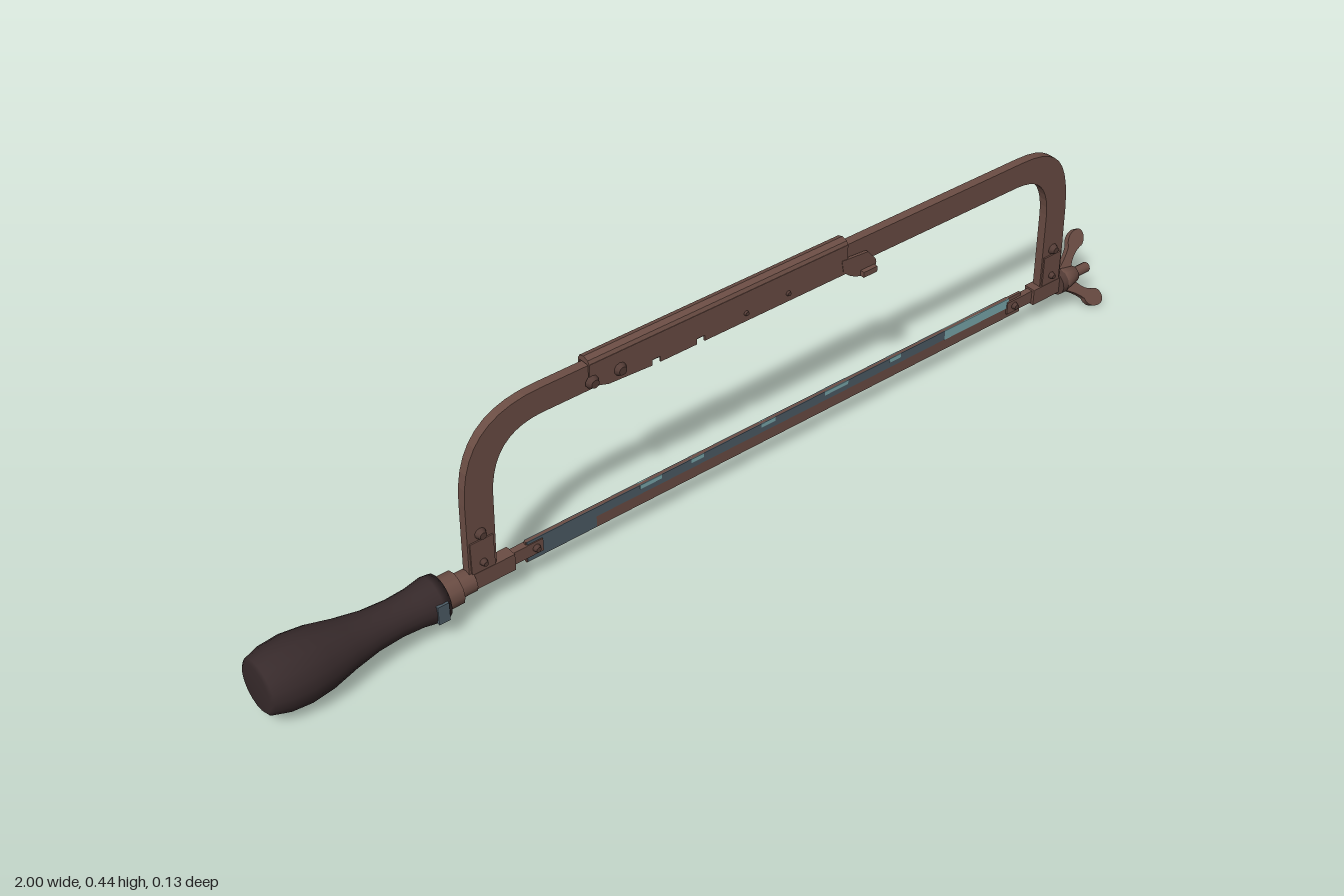
import * as THREE from 'three';

const AXIS_Y = 0.077; // height of the handle, blade and bolt axis

export function createModel() {
  const model = new THREE.Group();
  const paint = (name, color) => {
    const m = new THREE.MeshStandardMaterial({ color });
    m.name = name;
    return m;
  };
  const rust = paint('rusty steel', 0x6b4d44);
  const darkRust = paint('dark rust', 0x543c36);
  const wood = paint('dark wood', 0x372a2b);
  const bluePaint = paint('worn blue paint', 0x4d5c66);
  const tealPaint = paint('light teal paint', 0x7aa9ad);

  const add = (name, geometry, material, parent = model) => {
    const mesh = new THREE.Mesh(geometry, material);
    mesh.name = name;
    parent.add(mesh);
    return mesh;
  };
  // Box given by its x and y ranges, thickness and z centre
  const plate = (name, x0, x1, y0, y1, depth, material, z = 0) => {
    const g = new THREE.BoxGeometry(x1 - x0, y1 - y0, depth);
    return add(name, g.translate((x0 + x1) / 2, (y0 + y1) / 2, z), material);
  };
  // Turned part along x, from [x, radius] pairs
  const turned = (name, profile, sides, material) => {
    const g = new THREE.LatheGeometry(profile.map(([x, r]) => new THREE.Vector2(r, x)), sides);
    return add(name, g.rotateZ(-Math.PI / 2).translate(0, AXIS_Y, 0), material);
  };
  const rod = (name, x0, x1, r, sides, material) => {
    const g = new THREE.CylinderGeometry(r, r, x1 - x0, sides);
    return add(name, g.rotateZ(-Math.PI / 2).translate((x0 + x1) / 2, AXIS_Y, 0), material);
  };
  const slab = (shape, depth, z = 0) =>
    new THREE.ExtrudeGeometry(shape, { depth, bevelEnabled: false, curveSegments: 10 })
      .translate(0, 0, z - depth / 2);
  // Domed rivet through both sides
  const rivet = (x, y, r, z) => {
    for (const s of [1, -1]) {
      const g = new THREE.CylinderGeometry(r * 0.6, r, 0.011, 10);
      g.rotateX(s * Math.PI / 2).translate(x, y, s * (z + 0.0045));
      add('rivet', g, darkRust);
    }
  };

  // Bow frame with two rounded corners
  const bow = new THREE.Shape();
  bow.moveTo(-0.58, 0.085);
  bow.lineTo(-0.522, 0.085);
  bow.lineTo(-0.518, 0.25);
  bow.bezierCurveTo(-0.515, 0.33, -0.48, 0.37, -0.41, 0.372);
  bow.lineTo(0.74, 0.372);
  bow.bezierCurveTo(0.8, 0.37, 0.83, 0.34, 0.833, 0.27);
  bow.lineTo(0.834, 0.085);
  bow.lineTo(0.892, 0.085);
  bow.lineTo(0.888, 0.27);
  bow.bezierCurveTo(0.882, 0.38, 0.85, 0.425, 0.75, 0.425);
  bow.lineTo(-0.41, 0.425);
  bow.bezierCurveTo(-0.52, 0.425, -0.575, 0.37, -0.577, 0.25);
  bow.closePath();
  add('bowFrame', slab(bow, 0.019), rust);

  // Channel sleeve: notched cheeks under a bent cap
  const cheek = new THREE.Shape();
  cheek.moveTo(-0.31, 0.43);
  cheek.lineTo(-0.31, 0.385);
  cheek.lineTo(-0.27, 0.372);
  for (const x of [-0.165, -0.065]) {
    cheek.lineTo(x - 0.009, 0.367);
    cheek.lineTo(x - 0.009, 0.379);
    cheek.lineTo(x + 0.009, 0.379);
    cheek.lineTo(x + 0.009, 0.367);
  }
  cheek.lineTo(0.285, 0.367);
  cheek.lineTo(0.285, 0.43);
  cheek.closePath();
  for (const s of [1, -1]) add('sleeveCheek', slab(cheek, 0.004, s * 0.0145), rust);
  const cap = new THREE.Shape();
  cap.moveTo(-0.0165, 0.428);
  cap.lineTo(0.0165, 0.428);
  cap.lineTo(0.012, 0.437);
  cap.lineTo(0, 0.441);
  cap.lineTo(-0.012, 0.437);
  cap.closePath();
  add('sleeveCap', slab(cap, 0.595).rotateY(Math.PI / 2).translate(-0.0125, 0, 0), rust);
  rivet(-0.305, 0.393, 0.014, 0.016);
  rivet(-0.245, 0.393, 0.014, 0.016);
  rivet(0.04, 0.385, 0.007, 0.011);
  rivet(0.14, 0.385, 0.007, 0.011);

  // Locking lever under the sleeve end
  const lever = new THREE.Shape();
  lever.moveTo(0.27, 0.4);
  lever.lineTo(0.275, 0.373);
  lever.quadraticCurveTo(0.3, 0.347, 0.335, 0.345);
  lever.quadraticCurveTo(0.365, 0.35, 0.355, 0.372);
  lever.lineTo(0.335, 0.395);
  lever.closePath();
  for (const s of [1, -1]) add('lockingLever', slab(lever, 0.006, s * 0.0145), rust);
  plate('leverThumbTab', 0.318, 0.352, 0.348, 0.36, 0.054, rust);

  // Side plates and rivets at the feet of the frame
  for (const [x0, x1] of [[-0.575, -0.526], [0.838, 0.886]]) {
    const x = (x0 + x1) / 2;
    for (const s of [1, -1]) plate('footPlate', x0, x1, 0.07, 0.165, 0.004, rust, s * 0.0105);
    rivet(x, 0.178, 0.012, 0.01);
    rivet(x, 0.115, 0.008, 0.012);
  }

  // Wooden handle and its ferrule
  turned('handle', [
    [-1, 0], [-1, 0.046], [-0.995, 0.053], [-0.965, 0.062], [-0.925, 0.065], [-0.88, 0.06],
    [-0.83, 0.048], [-0.78, 0.039], [-0.73, 0.036], [-0.69, 0.038], [-0.655, 0.044],
    [-0.638, 0.042], [-0.635, 0],
  ], 18, wood);
  rod('ferrule', -0.638, -0.605, 0.033, 12, rust);
  rod('ferruleNeck', -0.61, -0.572, 0.024, 12, rust);
  plate('ferrulePaint', -0.668, -0.645, 0.055, 0.095, 0.006, bluePaint, 0.041);

  // Blade holders: square bars, hooks and pins
  plate('handleBladeBar', -0.59, -0.485, 0.06, 0.096, 0.026, rust);
  plate('handleBladeHook', -0.49, -0.42, 0.066, 0.094, 0.014, rust);
  plate('nutBladeBar', 0.815, 0.9, 0.06, 0.096, 0.026, rust);
  plate('nutBladeHook', 0.745, 0.82, 0.064, 0.092, 0.014, rust);
  rivet(-0.435, 0.08, 0.009, 0.005);
  rivet(0.765, 0.078, 0.009, 0.005);

  // Blade with worn paint on both faces
  plate('blade', -0.455, 0.785, 0.053, 0.1, 0.006, rust);
  for (const s of [1, -1]) {
    const z = s * 0.0035;
    plate('bluePaintEnd', -0.453, -0.3, 0.055, 0.1, 0.002, bluePaint, z);
    plate('bluePaintStrip', -0.3, 0.57, 0.079, 0.1, 0.002, bluePaint, z);
    plate('tealPaintEnd', 0.57, 0.75, 0.078, 0.1, 0.002, tealPaint, z);
    for (const [x, w] of [[-0.2, 0.05], [-0.08, 0.03], [0.09, 0.035], [0.25, 0.06], [0.42, 0.03]]) {
      plate('tealPaintFleck', x, x + w, 0.091, 0.1, 0.003, tealPaint, z);
    }
  }

  // Tension bolt and wing nut
  rod('tensionBolt', 0.89, 0.985, 0.011, 10, rust);
  rod('washer', 0.89, 0.905, 0.027, 12, darkRust);
  turned('nutHub', [[0.903, 0], [0.903, 0.026], [0.945, 0.018], [0.945, 0]], 12, rust);
  const wingNut = new THREE.Group();
  wingNut.name = 'wingNut';
  wingNut.position.y = AXIS_Y;
  wingNut.rotation.x = -Math.PI / 6;
  model.add(wingNut);
  const wing = new THREE.Shape();
  wing.moveTo(0.908, 0.012);
  wing.lineTo(0.938, 0.012);
  wing.quadraticCurveTo(0.955, 0.042, 0.985, 0.048);
  wing.bezierCurveTo(1.0, 0.055, 1.003, 0.078, 0.99, 0.083);
  wing.bezierCurveTo(0.97, 0.088, 0.952, 0.075, 0.95, 0.058);
  wing.quadraticCurveTo(0.935, 0.04, 0.908, 0.024);
  wing.closePath();
  for (const s of [0, Math.PI]) add('wing', slab(wing, 0.012).rotateX(s), rust, wingNut);

  return model;
}
